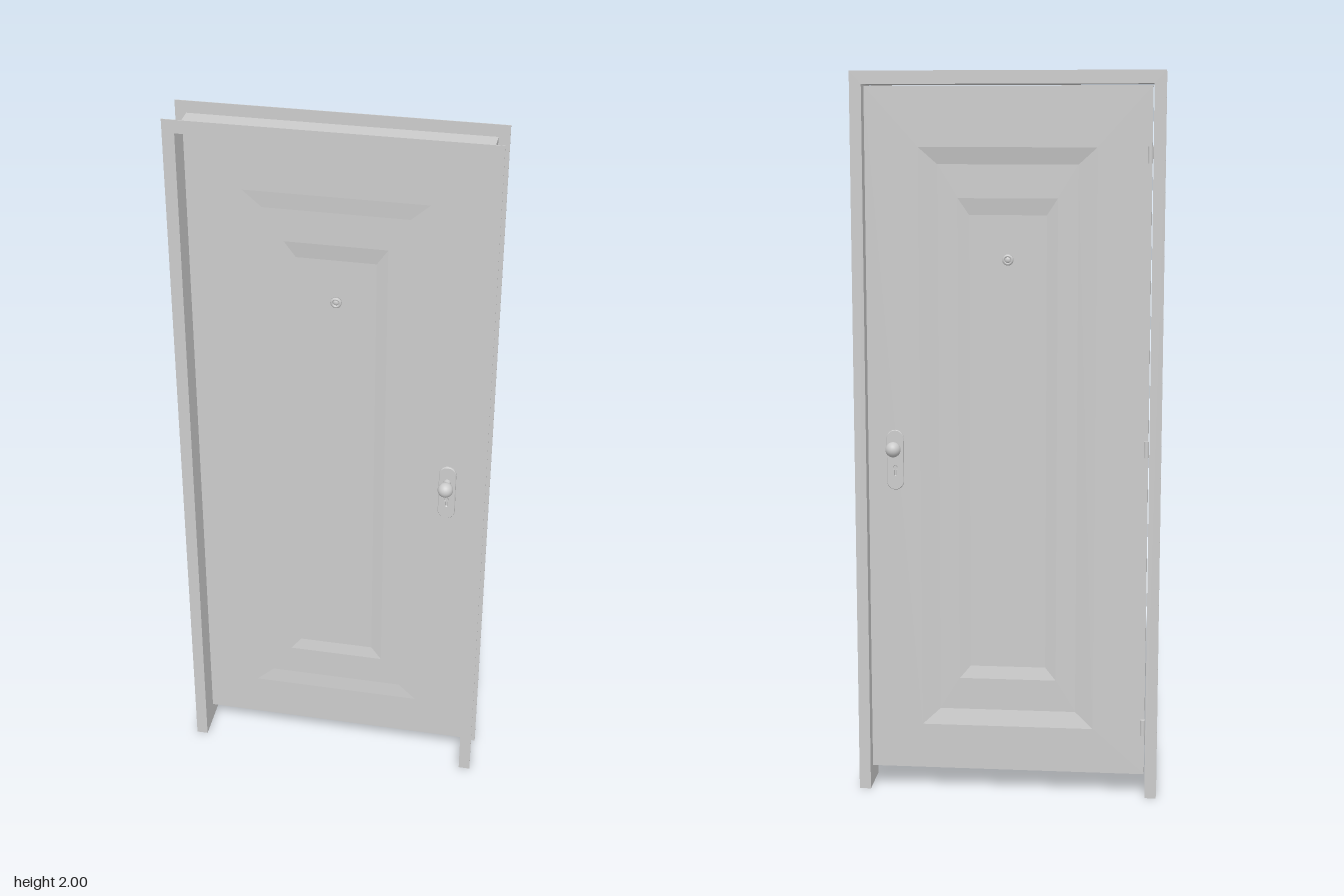
import * as THREE from 'three';

const material = new THREE.MeshStandardMaterial({ color: 0xcccccc, side: THREE.DoubleSide });
const flatMaterial = new THREE.MeshStandardMaterial({ color: 0xcccccc, flatShading: true });

const DOOR_BACK = -0.022, DOOR_FRONT = 0.018;
const FRAME_BACK = -0.044, FRAME_FRONT = 0.082;

function add(parent, name, geometry, x = 0, y = 0, z = 0, mat = material) {
  const mesh = new THREE.Mesh(geometry, mat);
  mesh.name = name;
  mesh.position.set(x, y, z);
  parent.add(mesh);
  return mesh;
}

// Two jambs and a head in one piece, open at the floor
function archGeometry(inX, inY, outX, outY, depth) {
  const shape = new THREE.Shape([
    [-outX, 0], [-inX, 0], [-inX, inY], [inX, inY],
    [inX, 0], [outX, 0], [outX, outY], [-outX, outY],
  ].map(([x, y]) => new THREE.Vector2(x, y)));
  return new THREE.ExtrudeGeometry(shape, { depth, bevelEnabled: false });
}

// Door leaf lofted through rectangles, from the back field to the front field
function leafGeometry() {
  const rects = [ // half width, bottom, top
    [0.385, 0.062, 1.961],
    [0.24, 0.19, 1.80],
    [0.19, 0.235, 1.755],
    [0.135, 0.325, 1.665],
    [0.105, 0.36, 1.62],
  ];
  const backDepth = [0, 0, 0.010, 0.010, 0.017];
  const frontDepth = [0, 0, 0.003, 0.003, 0.009];
  const rings = [];
  for (let i = 4; i >= 0; i--) rings.push([rects[i], DOOR_BACK + backDepth[i]]);
  for (let i = 0; i < 5; i++) rings.push([rects[i], DOOR_FRONT - frontDepth[i]]);

  const positions = [], index = [];
  for (const [[w, low, high], z] of rings) {
    positions.push(-w, low, z, w, low, z, w, high, z, -w, high, z);
  }
  for (let r = 0; r < rings.length - 1; r++) {
    for (let k = 0; k < 4; k++) {
      const a = r * 4 + k, b = r * 4 + (k + 1) % 4;
      index.push(a, b, b + 4, a, b + 4, a + 4);
    }
  }
  const last = (rings.length - 1) * 4;
  index.push(0, 2, 1, 0, 3, 2, last, last + 1, last + 2, last, last + 2, last + 3);

  const geometry = new THREE.BufferGeometry();
  geometry.setAttribute('position', new THREE.Float32BufferAttribute(positions, 3));
  geometry.setIndex(index);
  const flat = geometry.toNonIndexed();
  flat.computeVertexNormals();
  return flat;
}

// Long plate with round ends and a keyhole
function plateGeometry() {
  const r = 0.022, half = 0.06;
  const shape = new THREE.Shape();
  shape.absarc(0, half, r, 0, Math.PI, false);
  shape.absarc(0, -half, r, Math.PI, Math.PI * 2, false);
  shape.closePath();
  const hole = new THREE.Path();
  hole.absarc(0, -0.022, 0.007, -Math.PI / 3, Math.PI * 4 / 3, false);
  hole.lineTo(-0.0035, -0.045);
  hole.lineTo(0.0035, -0.045);
  hole.closePath();
  shape.holes.push(hole);
  return new THREE.ExtrudeGeometry(shape, {
    depth: 0.004, bevelEnabled: true, bevelThickness: 0.002,
    bevelSize: 0.0015, bevelSegments: 1, curveSegments: 16,
  });
}

// Handle and peephole for one face, built facing +z from z = 0
function addFittings(parent, side, fieldDepth) {
  const handle = new THREE.Group();
  handle.name = side + 'Handle';
  add(handle, 'lockPlate', plateGeometry(), 0, -0.035, 0);
  const neck = new THREE.CylinderGeometry(0.008, 0.011, 0.03, 20).rotateX(Math.PI / 2);
  add(handle, 'knobNeck', neck, 0, 0, 0.015);
  add(handle, 'knob', new THREE.SphereGeometry(0.021, 24, 16), 0, 0, 0.041);

  const peephole = new THREE.Group();
  peephole.name = side + 'Peephole';
  const profile = [[0.008, 0], [0.015, 0], [0.015, 0.004], [0.012, 0.007], [0.009, 0.007], [0.008, 0.003]]
    .map(([x, y]) => new THREE.Vector2(x, y));
  add(peephole, 'peepholeRing', new THREE.LatheGeometry(profile, 24).rotateX(Math.PI / 2));
  const lens = new THREE.SphereGeometry(0.0085, 16, 6, 0, Math.PI * 2, 0, Math.PI / 2);
  add(peephole, 'peepholeLens', lens.scale(1, 0.6, 1).rotateX(Math.PI / 2));
  peephole.position.set(0, 1.5, -fieldDepth);

  const fittings = new THREE.Group();
  fittings.name = side + 'Fittings';
  fittings.add(handle, peephole);
  const front = side === 'front';
  handle.position.set(front ? 0.31 : -0.31, 0.985, 0);
  fittings.position.z = front ? DOOR_FRONT : DOOR_BACK;
  if (!front) fittings.rotation.y = Math.PI;
  parent.add(fittings);
}

export function createModel() {
  const model = new THREE.Group();
  model.name = 'door';

  // Sheet metal frame: a channel opening outwards
  const frame = new THREE.Group();
  frame.name = 'frame';
  const sheet = 0.002;
  add(frame, 'frontFlange', archGeometry(0.388, 1.965, 0.42, 2, sheet), 0, 0, FRAME_FRONT - sheet);
  add(frame, 'backFlange', archGeometry(0.388, 1.965, 0.42, 2, sheet), 0, 0, FRAME_BACK);
  add(frame, 'frameLining', archGeometry(0.388, 1.965, 0.391, 1.968, FRAME_FRONT - FRAME_BACK - 2 * sheet),
    0, 0, FRAME_BACK + sheet);
  model.add(frame);

  // Door leaf with stepped panels
  add(model, 'doorLeaf', leafGeometry(), 0, 0, 0, flatMaterial);
  addFittings(model, 'front', 0.009);
  addFittings(model, 'back', 0.017);

  // Hinge knuckles on the back edge
  for (const y of [0.2, 0.99, 1.78]) {
    add(model, 'hinge', new THREE.CylinderGeometry(0.007, 0.007, 0.045, 16), -0.38, y, DOOR_BACK - 0.004);
  }
  return model;
}
